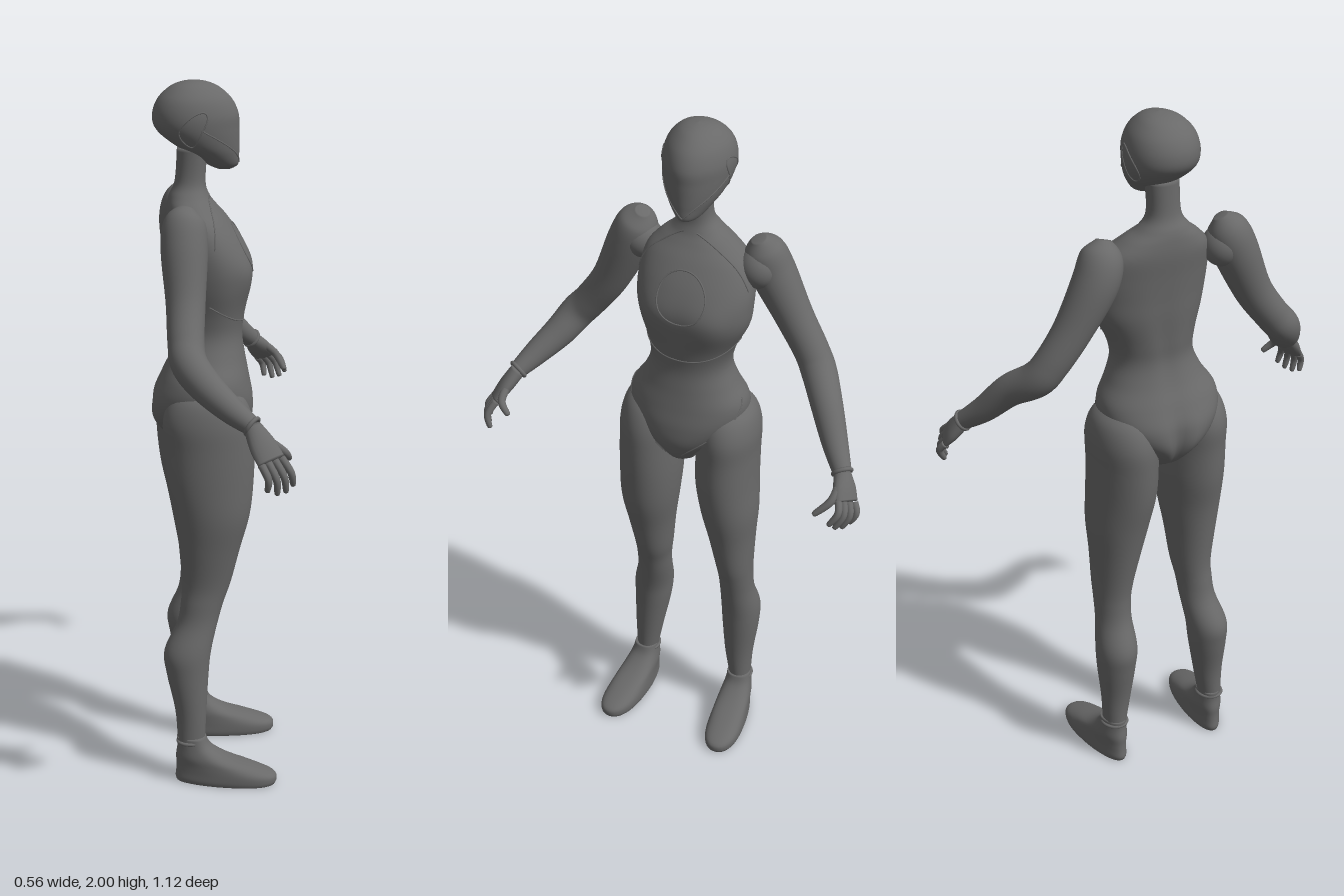
import * as THREE from 'three';

const V = (x, y, z) => new THREE.Vector3(x, y, z);
const body = new THREE.MeshStandardMaterial({ color: 0x696969 });
body.name = 'charcoal';

// Catmull-Rom blend of every column of a ring table, u in 0..1
function sample(rings, u) {
  const n = rings.length - 1, f = Math.min(u * n, n - 1e-6), i = Math.floor(f), t = f - i;
  const at = k => rings[Math.max(0, Math.min(n, k))];
  const [p, q, r, s] = [at(i - 1), at(i), at(i + 1), at(i + 2)];
  return q.map((b, k) => b + 0.5 * t * (r[k] - p[k]
    + t * (2 * p[k] - 5 * b + 4 * r[k] - s[k] + t * (3 * (b - r[k]) + s[k] - p[k]))));
}

// Surface through rings [x, y, z, a, b]; rings stay level unless a ref axis is given
function surface(rings, { yaw = 0, ref = null, warp = null, power = 1 } = {}) {
  const level = V(0, Math.sign(rings.at(-1)[1] - rings[0][1]), 0);
  return (u, th) => {
    const [x, y, z, a, b] = sample(rings, u);
    let t = level, p = V(Math.cos(yaw), 0, Math.sin(yaw));
    if (ref) {
      const m = sample(rings, Math.max(0, u - 0.02)), n = sample(rings, Math.min(1, u + 0.02));
      t = V(n[0] - m[0], n[1] - m[1], n[2] - m[2]).normalize();
      p = ref.clone().addScaledVector(t, -ref.dot(t)).normalize();
    }
    const q = t.clone().cross(p), [sa, sb] = warp ? warp(th, y) : [1, 1];
    const sq = c => Math.sign(c) * Math.abs(c) ** power;
    return V(x, y, z).addScaledVector(p, Math.max(a, 0.001) * sa * sq(Math.cos(th)))
      .addScaledVector(q, Math.max(b, 0.001) * sb * sq(Math.sin(th)));
  };
}

// Closed, smooth mesh over a surface
function skin(name, rings, opts, rows = 40, sides = 32) {
  const f = surface(rings, opts), pos = [], idx = [];
  for (let i = 0; i <= rows; i++)
    for (let j = 0; j < sides; j++) pos.push(...f(i / rows, j / sides * Math.PI * 2).toArray());
  const cap = pos.length / 3;
  pos.push(...rings[0].slice(0, 3), ...rings.at(-1).slice(0, 3));
  for (let j = 0; j < sides; j++) {
    const k = (j + 1) % sides, e = rows * sides;
    for (let i = 0; i < rows; i++) {
      const r = i * sides, s = r + sides;
      idx.push(r + j, r + k, s + j, r + k, s + k, s + j);
    }
    idx.push(cap, k, j, cap + 1, e + j, e + k);
  }
  const g = new THREE.BufferGeometry();
  g.setAttribute('position', new THREE.Float32BufferAttribute(pos, 3));
  g.setIndex(idx);
  g.computeVertexNormals();
  return part(name, g);
}

function part(name, geometry) {
  const m = new THREE.Mesh(geometry, body);
  m.name = name;
  return m;
}

// Fine raised seam following a surface; path gives [angle, height]
function seam(name, rings, opts, path, closed = false) {
  const f = surface(rings, opts), pts = [];
  for (let i = 0; i < 32; i++) {
    const [th, y] = path(i / (closed ? 32 : 31));
    let lo = 0, hi = 1;
    for (let k = 0; k < 24; k++) {
      const mid = (lo + hi) / 2;
      if (sample(rings, mid)[1] < y) lo = mid; else hi = mid;
    }
    pts.push(f(lo, th));
  }
  return part(name, new THREE.TubeGeometry(new THREE.CatmullRomCurve3(pts, closed), 80, 0.0022, 6, closed));
}

// Palm, four curled fingers and a thumb
function hand(name, wrist, knuckle, spread, tip, thumbTip, curl) {
  const g = new THREE.Group();
  g.name = name;
  const mid = wrist.clone().lerp(knuckle, 0.55);
  g.add(skin('palm', [[...wrist.toArray(), 0.024, 0.022], [...mid.toArray(), 0.038, 0.021],
    [...knuckle.toArray(), 0.04, 0.015]], { ref: spread }, 12, 20));
  const digit = (label, a, c, r) => {
    const b = a.clone().lerp(c, 0.5).add(curl);
    g.add(skin(label, [[...a.toArray(), r, r], [...b.toArray(), r * 0.95, r * 0.95],
      [...c.toArray(), r * 0.7, r * 0.7], [...c.clone().lerp(b, -0.1).toArray(), 0.002, 0.002]],
    { ref: spread }, 14, 12));
  };
  for (let i = 0; i < 4; i++) {
    const k = i - 1.5, short = [0.1, 0, 0.03, 0.22][i];
    const a = knuckle.clone().addScaledVector(spread, -k * 0.02);
    const c = tip.clone().addScaledVector(spread, -k * 0.026).lerp(a, short);
    digit('finger', a, c, 0.0105);
  }
  digit('thumb', mid.clone().addScaledVector(spread, 0.025), thumbTip, 0.012);
  return g;
}

// Ring lying across a limb
function band(name, at, dir, r, tube) {
  const m = part(name, new THREE.TorusGeometry(r, tube, 10, 32));
  m.position.copy(at);
  m.quaternion.setFromUnitVectors(V(0, 0, 1), dir.clone().normalize());
  return m;
}

export function createModel() {
  const root = new THREE.Group();
  root.name = 'figure';
  const bump = (v, c, w) => Math.exp(-(((v - c) / w) ** 2));

  // Torso from crotch to neck, with bust, spine groove and cleft
  const torso = [[-0.095, 0.955, -0.045, 0.03, 0.02], [-0.1, 1.0, -0.045, 0.1, 0.05],
    [-0.108, 1.06, -0.045, 0.14, 0.12], [-0.108, 1.12, -0.045, 0.143, 0.165],
    [-0.1, 1.18, -0.045, 0.125, 0.17], [-0.09, 1.24, -0.048, 0.105, 0.138],
    [-0.085, 1.3, -0.05, 0.093, 0.117], [-0.082, 1.36, -0.053, 0.098, 0.125],
    [-0.075, 1.44, -0.06, 0.11, 0.155], [-0.076, 1.5, -0.06, 0.112, 0.165],
    [-0.09, 1.56, -0.062, 0.102, 0.165], [-0.113, 1.62, -0.063, 0.085, 0.15],
    [-0.13, 1.66, -0.06, 0.068, 0.11], [-0.138, 1.69, -0.056, 0.055, 0.07],
    [-0.135, 1.73, -0.053, 0.042, 0.046], [-0.128, 1.82, -0.053, 0.042, 0.046]];
  const torsoOpts = {
    yaw: 0.26, power: 0.93,
    warp: (th, y) => {
      const w = Math.atan2(Math.sin(th), Math.cos(th)), back = Math.PI - Math.abs(w);
      const s = 1 + 0.06 * bump(Math.abs(w), 0.5, 0.35) * bump(y, 1.47, 0.06)
        - 0.14 * bump(back, 0, 0.16) * bump(y, 1.07, 0.08) - 0.05 * bump(back, 0, 0.2) * bump(y, 1.35, 0.17);
      return [s, s];
    },
  };
  root.add(skin('torso', torso, torsoOpts, 90, 64));
  root.add(seam('chestRing', torso, torsoOpts,
    t => [0.4 * Math.cos(t * 6.2832), 1.54 + 0.068 * Math.sin(t * 6.2832)], true));
  for (const s of [-1, 1]) {
    root.add(seam('collarSeam', torso, torsoOpts, t => [s * (0.25 + 1.1 * t), 1.69 - 0.03 * t - 0.1 * t * t]));
    root.add(seam('hipSeam', torso, torsoOpts, t => [s * (1.5 - 1.2 * t), 1.2 - 0.18 * t]));
    root.add(seam('waistSeam', torso, torsoOpts, t => [s * 1.6 * t, 1.34 + 0.06 * t * t]));
  }

  // Smooth helmet-like head with a pointed chin
  const head = [[-0.04, 1.757, -0.043, 0.018, 0.012], [-0.045, 1.77, -0.044, 0.042, 0.034],
    [-0.066, 1.8, -0.047, 0.066, 0.06], [-0.091, 1.83, -0.052, 0.092, 0.08],
    [-0.113, 1.87, -0.056, 0.114, 0.094], [-0.118, 1.91, -0.057, 0.117, 0.096],
    [-0.12, 1.95, -0.057, 0.1, 0.084], [-0.121, 1.98, -0.057, 0.068, 0.058],
    [-0.121, 1.994, -0.057, 0.036, 0.032], [-0.121, 1.9995, -0.057, 0.002, 0.002]];
  const headOpts = { yaw: 0.2, warp: th => [1, 1 - 0.16 * Math.cos(th)] };
  root.add(skin('head', head, headOpts, 60, 48));
  root.add(seam('visorSeam', head, headOpts, t => {
    const w = 2 * t - 1;
    return [w * 1.5, 1.775 + 0.1 * Math.abs(w) ** 1.3];
  }));
  for (const s of [-1, 1])
    root.add(seam('earPanel', head, headOpts, t => {
      const c = Math.cos(t * 6.2832), d = Math.sin(t * 6.2832);
      return [s * (1.75 - 0.42 * c), 1.875 + 0.035 * c + 0.032 * d];
    }, true));

  // Legs share girths; each has its own stance [x, z] per height
  const girth = [[1.175, 0.05, 0.035], [1.14, 0.1, 0.075], [1.08, 0.125, 0.089], [1.0, 0.125, 0.09],
    [0.9, 0.12, 0.09], [0.8, 0.105, 0.084], [0.7, 0.086, 0.069], [0.6, 0.07, 0.056], [0.54, 0.061, 0.051],
    [0.48, 0.058, 0.051], [0.4, 0.067, 0.058], [0.33, 0.06, 0.055], [0.22, 0.045, 0.043],
    [0.12, 0.039, 0.032], [0.07, 0.037, 0.03]];
  const stances = {
    right: { yaw: 0.36, path: [[-0.12, 0.06], [-0.12, 0.062], [-0.12, 0.066], [-0.115, 0.068],
      [-0.113, 0.069], [-0.11, 0.072], [-0.118, 0.07], [-0.127, 0.066], [-0.14, 0.068], [-0.155, 0.07],
      [-0.186, 0.078], [-0.188, 0.082], [-0.182, 0.092], [-0.183, 0.099], [-0.183, 0.099]] },
    left: { yaw: 0.16, path: [[-0.085, -0.155], [-0.085, -0.157], [-0.085, -0.16], [-0.085, -0.158],
      [-0.08, -0.158], [-0.073, -0.167], [-0.072, -0.176], [-0.07, -0.185], [-0.075, -0.19],
      [-0.085, -0.194], [-0.107, -0.203], [-0.107, -0.204], [-0.102, -0.202], [-0.1, -0.207], [-0.1, -0.207]] },
  };
  // Foot rows: forward offset, height, half length, half width
  const sole = [[0.1, 0, 0.142, 0.049], [0.1, 0.012, 0.147, 0.052], [0.097, 0.032, 0.142, 0.052],
    [0.068, 0.055, 0.112, 0.049], [0.03, 0.08, 0.075, 0.045], [0.008, 0.11, 0.049, 0.038],
    [0, 0.14, 0.042, 0.034]];
  for (const [side, { yaw, path }] of Object.entries(stances)) {
    const leg = girth.map(([y, a, b], i) => [path[i][0], y, path[i][1], a, b]);
    root.add(skin(side + 'Leg', leg, { yaw: 0.15 }, 70, 40));
    const [ax, az] = path.at(-1);
    const foot = sole.map(([d, y, a, b]) => [ax + d * Math.cos(yaw), y, az + d * Math.sin(yaw), a, b]);
    root.add(skin(side + 'Foot', foot, { yaw, power: 0.9, warp: th => [1, 1 + 0.2 * Math.cos(th)] }, 24, 40));
    const cuff = band(side + 'AnkleCuff', V(ax, 0.125, az), V(0, 1, 0), 0.035, 0.005);
    cuff.scale.set(1.1, 1, 1);
    root.add(cuff);
  }

  // Arms: rows of x, y, z, radius from shoulder to wrist
  const arms = {
    right: [[-0.185, 1.685, 0.105, 0.02], [-0.195, 1.65, 0.118, 0.055], [-0.203, 1.58, 0.145, 0.063],
      [-0.215, 1.45, 0.202, 0.053], [-0.23, 1.36, 0.262, 0.049], [-0.232, 1.31, 0.305, 0.049],
      [-0.2, 1.26, 0.35, 0.045], [-0.15, 1.21, 0.41, 0.036], [-0.105, 1.175, 0.455, 0.026]],
    left: [[-0.095, 1.685, -0.225, 0.02], [-0.102, 1.65, -0.238, 0.055], [-0.108, 1.58, -0.265, 0.063],
      [-0.09, 1.46, -0.328, 0.053], [-0.065, 1.37, -0.382, 0.049], [-0.035, 1.32, -0.41, 0.049],
      [0.04, 1.268, -0.442, 0.044], [0.11, 1.195, -0.476, 0.036], [0.17, 1.145, -0.505, 0.026]],
  };
  for (const [side, rows] of Object.entries(arms)) {
    root.add(skin(side + 'Arm', rows.map(r => [...r, r[3]]), { ref: V(0.96, 0.3, 0.26) }, 60, 32));
    const [p, w] = rows.slice(-2).map(r => V(r[0], r[1], r[2]));
    root.add(band(side + 'WristCuff', w, w.clone().sub(p), 0.025, 0.006));
    // Socket joining the shoulder to the chest
    const inward = side === 'right' ? -1 : 1, socket = part(side + 'ShoulderJoint', new THREE.SphereGeometry(0.058, 32, 20));
    socket.position.set(rows[2][0] + inward * 0.004 + 0.015, 1.6, rows[2][2] + inward * 0.035);
    root.add(socket);
  }
  root.add(hand('rightHand', V(-0.105, 1.175, 0.455), V(-0.07, 1.095, 0.515),
    V(0.94, 0.2, -0.25).normalize(), V(-0.048, 1.015, 0.535), V(-0.008, 1.085, 0.467), V(0.006, 0, 0.014)));
  root.add(hand('leftHand', V(0.17, 1.145, -0.505), V(0.22, 1.085, -0.525),
    V(0.6, 0.4, 0.65).normalize(), V(0.25, 1.018, -0.51), V(0.255, 1.06, -0.445), V(0.008, 0.004, -0.012)));
  return root;
}
